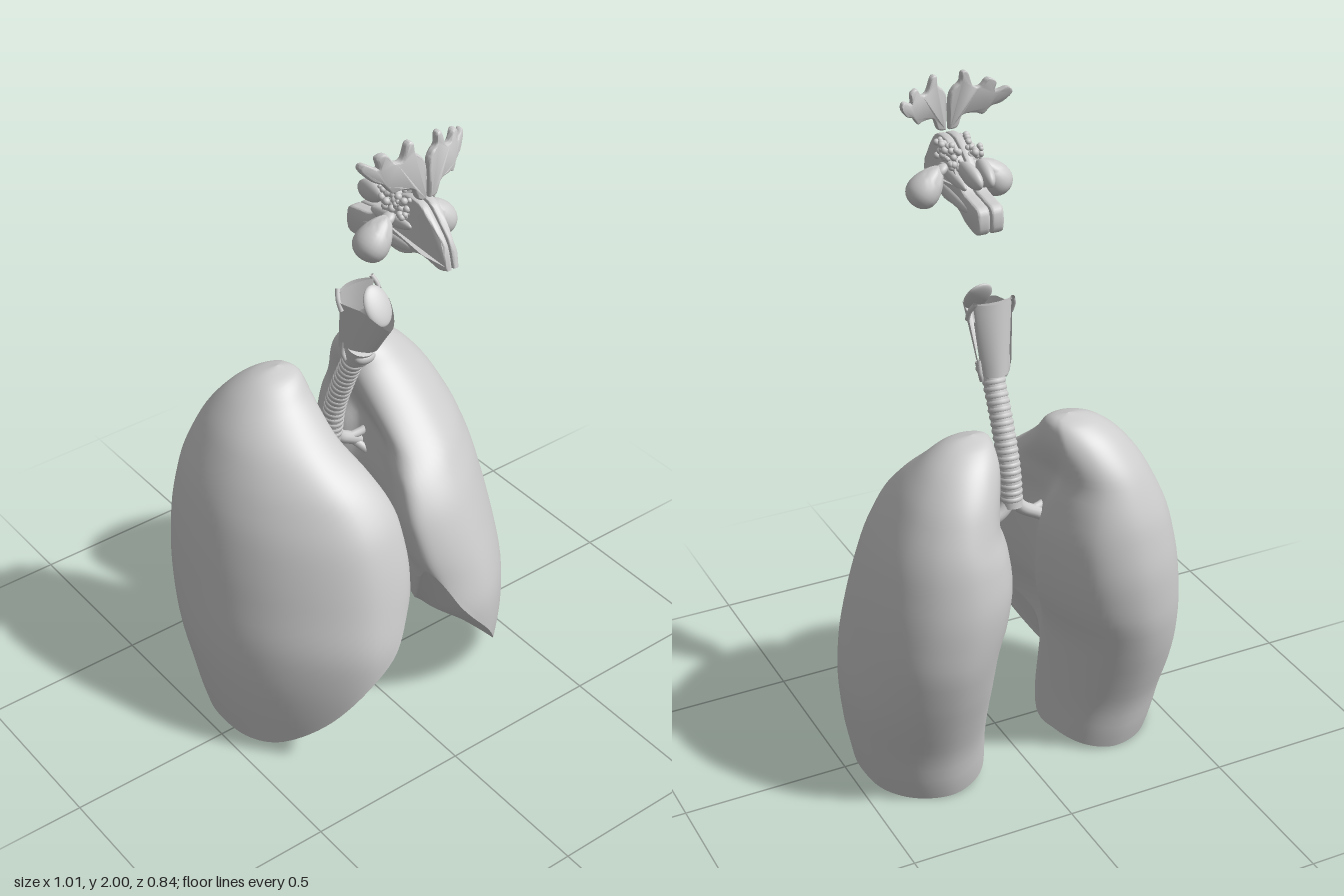
import * as THREE from 'three';
import { toCreasedNormals } from 'three/addons/utils/BufferGeometryUtils.js';

const tissue = new THREE.MeshStandardMaterial({ color: 0xcccccc, side: THREE.DoubleSide });
tissue.name = 'pale grey';

const V = (x, y, z) => new THREE.Vector3(x, y, z);
const lerp = THREE.MathUtils.lerp;

function add(parent, name, geometry) {
  const mesh = new THREE.Mesh(geometry, tissue);
  mesh.name = name;
  parent.add(mesh);
  return mesh;
}

// Skin through rows of points
function skin(rows, closed, flip = false) {
  const n = rows[0].length, index = [];
  for (let r = 0; r < rows.length - 1; r++) {
    for (let c = 0; c < (closed ? n : n - 1); c++) {
      const a = r * n + c, b = r * n + (c + 1) % n, d = a + n, e = b + n;
      if (flip) index.push(a, b, d, b, e, d);
      else index.push(a, d, b, b, d, e);
    }
  }
  const g = new THREE.BufferGeometry().setFromPoints(rows.flat());
  g.setIndex(index);
  g.computeVertexNormals();
  return g;
}

// Smooth curve without overshoot through [key, value] pairs
function profile(p) {
  const d = p.slice(1).map((q, i) => (q[1] - p[i][1]) / (q[0] - p[i][0]));
  const m = p.map((_, i) => {
    if (i === 0) return d[0];
    if (i === d.length) return d[i - 1];
    return d[i - 1] * d[i] <= 0 ? 0 : 2 * d[i - 1] * d[i] / (d[i - 1] + d[i]);
  });
  return (x) => {
    let i = 0;
    while (i < d.length - 1 && x > p[i + 1][0]) i++;
    const h = p[i + 1][0] - p[i][0], t = THREE.MathUtils.clamp((x - p[i][0]) / h, 0, 1);
    const u = 1 - t;
    return u * u * (1 + 2 * t) * p[i][1] + t * u * u * h * m[i]
      + t * t * (3 - 2 * t) * p[i + 1][1] - t * t * u * h * m[i + 1];
  };
}

const tube = (points, r) => new THREE.TubeGeometry(new THREE.CatmullRomCurve3(points), 20, r, 12);

// Lung outline: x = medial to outer, y = back to front, z = height of the lower rim
const OUTLINE = [
  [1, .36, .01], [.95, .19, 0], [.8, .06, 0], [.55, 0, 0], [.3, .06, .02], [.17, .19, .04],
  [.115, .34, .07], [.2, .49, .35], [.12, .7, .42], [.03, .86, .47], [.03, .95, .53], [.15, 1, .41],
  [.38, 1, .3], [.62, .9, .15], [.85, .72, .04], [.97, .54, .01]];
const TOP = 1.12;
const outer = profile([[0, .46], [.15, .49], [.32, .507], [.55, .49], [.77, .45], [.95, .375], [1.04, .31], [1.09, .25], [1.112, .2], [TOP, .15]]);
const back = profile([[0, -.265], [.05, -.28], [.15, -.3], [.28, -.345], [.4, -.385], [.54, -.415], [.65, -.42], [.8, -.4], [.95, -.35], [1.04, -.29], [1.1, -.22], [TOP, -.16]]);
const front = profile([[0, .33], [.3, .37], [.38, .372], [.52, .345], [.72, .28], [.84, .2], [.93, .1], [1.04, -.035], [1.1, -.1], [TOP, -.16]]);

function lung(side, medial, rimLift) {
  const g = new THREE.Group();
  g.name = side > 0 ? 'leftLung' : 'rightLung';
  const N = 112, ROWS = 44;
  const pts = OUTLINE.map(([s, t, b]) => V(s, t, b > .4 ? b + rimLift : b));
  const curve = new THREE.CatmullRomCurve3(pts, true);
  const loop = Array.from({ length: N }, (_, i) => curve.getPoint(i / N));
  const at = (p, i, y) => {
    const f = THREE.MathUtils.smoothstep(y, .8, 1.1) * .8, a = i / N * Math.PI * 2;
    const s = lerp(p.x, .5 + .5 * Math.cos(a), f), t = lerp(p.y, .5 - .5 * Math.sin(a), f);
    return V(side * lerp(medial(y), outer(y), s), y, lerp(back(y), front(y), t));
  };
  const rows = [];
  for (let r = 0; r <= ROWS; r++) {
    const k = Math.sin(r / ROWS * Math.PI / 2);
    rows.push(loop.map((p, i) => at(p, i, lerp(Math.max(p.z, .003), TOP, k))));
  }
  add(g, 'lungWall', skin(rows, true, side > 0));
  // Hollow underside, rising towards the front and middle
  const base = [];
  for (let r = 0; r <= 14; r++) {
    const k = r / 14;
    base.push(rows[0].map((p) => V(lerp(side * .27, p.x, k), lerp(.15, p.y, k ** 1.5), lerp(-.04, p.z, k))));
  }
  add(g, 'lungBase', skin(base, true, side > 0));
  return g;
}

function airway() {
  const g = new THREE.Group();
  g.name = 'airway';
  // Windpipe with its rings
  const path = new THREE.CatmullRomCurve3([V(0, .83, -.11), V(0, .95, -.09), V(0, 1.07, -.045), V(0, 1.2, .015), V(0, 1.34, .065)]);
  add(g, 'windpipe', new THREE.TubeGeometry(path, 40, .031, 24));
  for (let i = 0; i < 19; i++) {
    const u = .05 + i * .037;
    const ring = add(g, 'windpipeRing', new THREE.TorusGeometry(.029, .005, 8, 28));
    ring.position.copy(path.getPointAt(u));
    ring.lookAt(ring.position.clone().add(path.getTangentAt(u)));
    ring.scale.z = 1.6;
  }
  // Main bronchi and their branches
  for (const s of [-1, 1]) {
    add(g, 'bronchus', tube([V(0, .86, -.105), V(s * .03, .82, -.11), V(s * .08, .79, -.11), V(s * .16, .74, -.11)], .02));
    add(g, 'bronchusBranch', tube([V(s * .06, .8, -.11), V(s * .11, .81, -.1), V(s * .17, .84, -.09)], .013));
    add(g, 'bronchusBranch', tube([V(s * .08, .785, -.11), V(s * .12, .74, -.07), V(s * .16, .69, -.03)], .013));
  }
  return g;
}

function larynx() {
  const g = new THREE.Group();
  g.name = 'larynx';
  // Shield cartilage, open behind, with a notch at the top
  const rows = [];
  for (let r = 0; r <= 10; r++) {
    const k = r / 10, row = [];
    for (let c = -14; c <= 14; c++) {
      const a = Math.abs(c) / 14, w = lerp(.049, .07, k);
      const y = lerp(lerp(1.245, 1.225, a), lerp(1.345, 1.395, Math.min(1, a * 1.6)), k);
      row.push(V(Math.sign(c) * w * a ** .75, y, lerp(lerp(.1, .168, k), lerp(-.005, .03, k), a ** 1.5)));
    }
    rows.push(row);
  }
  add(g, 'shieldCartilage', skin(rows, false));
  for (const s of [-1, 1]) {
    add(g, 'upperHorn', tube([V(s * .068, 1.37, .035), V(s * .068, 1.4, .02), V(s * .058, 1.425, .005)], .007));
    add(g, 'lowerHorn', tube([V(s * .045, 1.25, .01), V(s * .043, 1.21, .005), V(s * .036, 1.185, .01)], .007));
  }
  // Ring cartilage
  const ring = add(g, 'ringCartilage', new THREE.CylinderGeometry(.042, .036, .055, 28));
  ring.position.set(0, 1.205, .025);
  ring.rotation.x = .35;
  const band = add(g, 'ringCartilageFront', new THREE.SphereGeometry(1, 20, 12));
  band.scale.set(.034, .02, .022);
  band.position.set(0, 1.2, .052);
  // Rear wall of the throat
  const wall = [];
  for (let r = 0; r <= 8; r++) {
    const k = r / 8, row = [];
    for (let c = 0; c < 28; c++) {
      const a = c / 28 * Math.PI * 2, x = Math.cos(a);
      row.push(V(x * lerp(.04, .06, k), lerp(1.205, 1.42, k), lerp(-.025, -.002, k) + Math.sin(a) * .008 + x * x * .018));
    }
    wall.push(row);
  }
  add(g, 'throatWall', skin(wall, true));
  // Leaf-shaped lid leaning backwards
  const lid = add(g, 'epiglottis', new THREE.SphereGeometry(1, 24, 16));
  lid.scale.set(.042, .06, .013);
  lid.position.set(0, 1.398, .108);
  lid.rotation.x = -.6;
  return g;
}

function extrude(points, depth, bevel) {
  const shape = new THREE.Shape();
  shape.moveTo(...points[0]);
  shape.splineThru([...points.slice(1), points[0]].map((p) => new THREE.Vector2(...p)));
  return new THREE.ExtrudeGeometry(shape, {
    depth, steps: 2, curveSegments: 4, bevelThickness: bevel, bevelSize: bevel * .6, bevelSegments: 3, bevelOffset: -bevel * .6,
  });
}

function reshape(g, rule) {
  const p = g.attributes.position, v = V(0, 0, 0);
  for (let i = 0; i < p.count; i++) {
    rule(v.fromBufferAttribute(p, i));
    p.setXYZ(i, v.x, v.y, v.z);
  }
  return toCreasedNormals(g, .7);
}

const FRONTAL = [[.005, 1.83], [.03, 1.835], [.045, 1.868], [.08, 1.872], [.1, 1.868], [.12, 1.892], [.145, 1.905],
  [.168, 1.935], [.158, 1.952], [.128, 1.938], [.13, 1.965], [.108, 1.975], [.09, 1.952], [.07, 1.955],
  [.055, 1.995], [.038, 1.995], [.034, 1.968], [.015, 1.95], [.004, 1.92]];
const NASAL = [[.42, 1.67], [.4, 1.735], [.35, 1.79], [.31, 1.82], [.25, 1.82], [.18, 1.775], [.13, 1.715], [.07, 1.7],
  [.025, 1.685], [.028, 1.618], [.1, 1.625], [.16, 1.652], [.25, 1.652], [.33, 1.685], [.39, 1.665]];

function sinuses() {
  const g = new THREE.Group();
  g.name = 'sinuses';
  let seed = 7;
  const rand = () => (seed = (seed * 16807) % 2147483647) / 2147483647;
  for (const s of [-1, 1]) {
    const half = new THREE.Group();
    half.name = s > 0 ? 'leftSinuses' : 'rightSinuses';
    const blob = (name, pos, size, rot) => {
      const m = add(half, name, new THREE.SphereGeometry(1, 24, 16));
      m.position.set(s * pos[0], pos[1], pos[2]);
      m.scale.set(...size);
      m.rotation.set(rot[0], s * rot[1], s * rot[2]);
      return m;
    };
    // Branched brow hollow, bent round the forehead
    add(half, 'frontalSinus', reshape(extrude(FRONTAL, .008, .008), (v) => {
      v.z += .3 - 2.2 * v.x * v.x - .1 * Math.max(0, v.y - 1.87);
      v.x *= s;
    }));
    // Nasal passage, narrowing towards the nose tip
    add(half, 'nasalPassage', reshape(extrude(NASAL, .012, .006).rotateY(-Math.PI / 2), (v) => {
      const k = v.z > .34 ? 1 - (v.z - .34) * 7 : 1;
      v.x = s * (.003 + (-v.x + .006) * k * (v.y < 1.72 ? 1.5 : 1));
    }));
    // Curled shelves inside the passage
    blob('lowerShelf', [.034, 1.675, .19], [.014, .02, .11], [-.08, 0, 0]);
    blob('middleShelf', [.03, 1.73, .2], [.015, .02, .085], [-.12, 0, 0]);
    // Cheek hollow, tapering up and inwards
    const cheek = blob('maxillarySinus', [.1, 1.706, .222], [1, 1, 1], [0, 0, .7]);
    cheek.geometry = reshape(cheek.geometry, (v) => {
      const k = 1 - .35 * v.y;
      v.set(v.x * .045 * k, v.y * .066, v.z * .049 * k);
    });
    blob('maxillaryDuct', [.06, 1.745, .22], [.025, .014, .02], [0, 0, -.6]);
    // Rear hollow
    blob('sphenoidSinus', [.022, 1.764, .102], [.021, .031, .057], [-.25, .1, 0]);
    // Cluster of small air cells
    for (let i = 0; i < 46; i++) {
      const cell = add(half, 'ethmoidCell', new THREE.SphereGeometry(.006 + rand() * .005, 10, 8));
      cell.position.set(s * (.022 + rand() * .026), 1.765 + rand() * .052, .16 + rand() * .115);
    }
    g.add(half);
  }
  return g;
}

export function createModel() {
  const model = new THREE.Group();
  model.name = 'respiratorySystem';
  const crown = [[.95, .065], [1.03, .07], [1.09, .085], [1.11, .105], [TOP, .15]];
  const rightMedial = profile([[0, .06], [.3, .052], [.4, .048], [.47, .035], [.55, .01], [.65, 0], [.75, .003], [.87, .035], ...crown]);
  const leftMedial = profile([[0, .045], [.4, .045], [.47, .045], [.52, .04], [.6, .018], [.7, .008], [.81, .03], [.88, .06], ...crown]);
  model.add(lung(-1, rightMedial, 0), lung(1, leftMedial, .03), airway(), larynx(), sinuses());
  return model;
}
